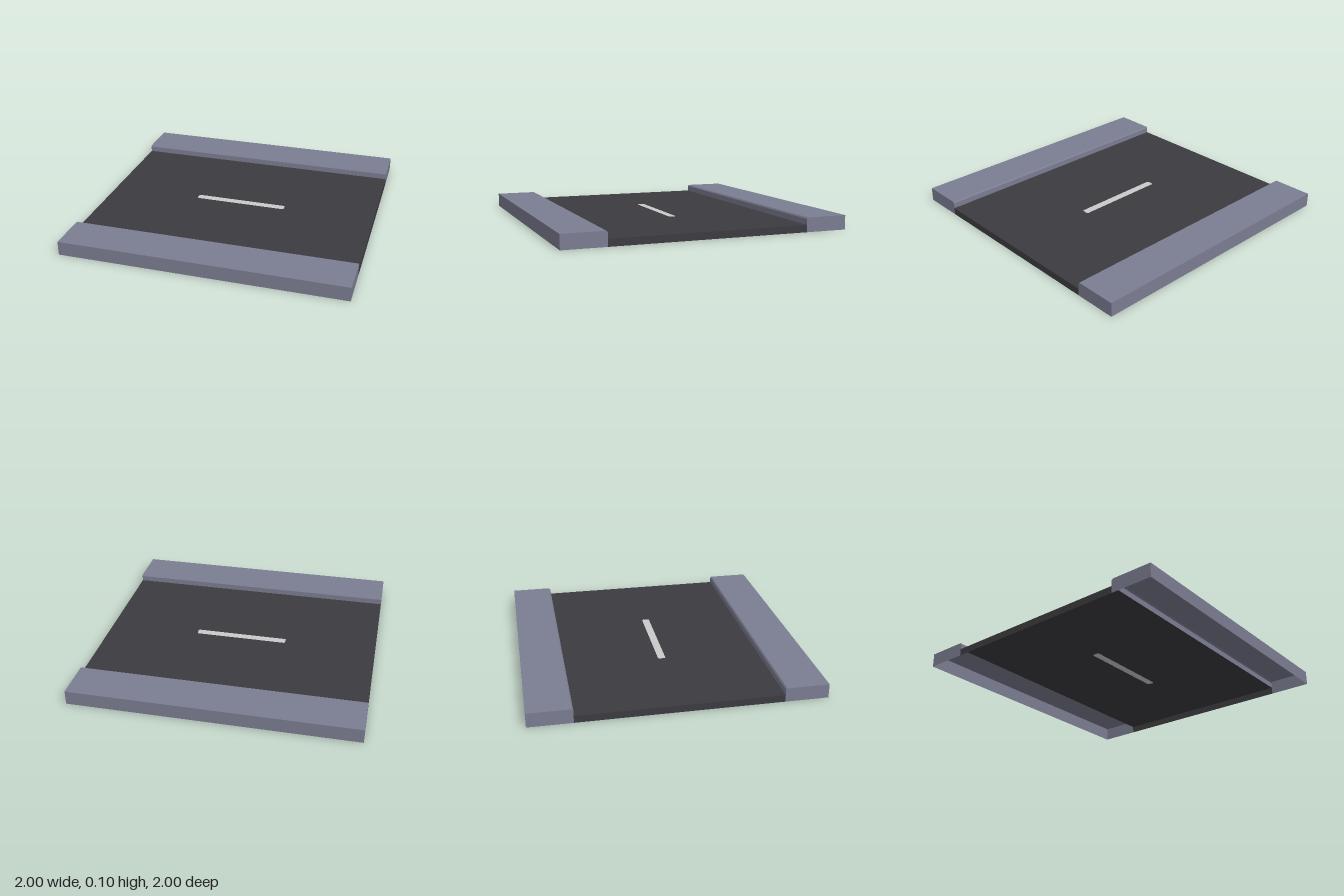
import * as THREE from 'three';

const ROAD_Y = 0.05, CURB_Y = 0.1, EDGE = 0.699;

// Curb cross-section as [z, y], from the outer foot over the top to the road
const PROFILE = [[1, 0], [1, CURB_Y], [0.707, CURB_Y], [EDGE, 0.09], [EDGE, ROAD_Y]];

function material(name, color) {
  const m = new THREE.MeshStandardMaterial({ color, side: THREE.DoubleSide });
  m.name = name;
  return m;
}

function addMesh(parent, name, geometry, mat) {
  const mesh = new THREE.Mesh(geometry, mat);
  mesh.name = name;
  parent.add(mesh);
  return mesh;
}

// Open strip of flat faces following the cross-section along x
function sweepAlongX(profile) {
  const pos = [];
  for (let i = 0; i < profile.length - 1; i++) {
    const [za, ya] = profile[i], [zb, yb] = profile[i + 1];
    pos.push(-1, ya, za, 1, ya, za, 1, yb, zb);
    pos.push(-1, ya, za, 1, yb, zb, -1, yb, zb);
  }
  const g = new THREE.BufferGeometry();
  g.setAttribute('position', new THREE.Float32BufferAttribute(pos, 3));
  g.computeVertexNormals();
  return g;
}

// End plate of a curb, facing outwards on the given side
function endPlate(side) {
  const points = [...PROFILE, [EDGE, 0]].map(([z, y]) => new THREE.Vector2(-side * z, y));
  return new THREE.ShapeGeometry(new THREE.Shape(points))
    .rotateY(side * Math.PI / 2).translate(side, 0, 0);
}

// Outline of the lane marking with clipped corners
function markingPoints() {
  const w = 0.336, h = 0.027, c = 0.008;
  return [[-w, -h + c], [-w + c, -h], [w - c, -h], [w, -h + c],
    [w, h - c], [w - c, h], [-w + c, h], [-w, h - c]].map(([x, y]) => new THREE.Vector2(x, y));
}

export function createModel() {
  const model = new THREE.Group();
  model.name = 'roadTile';
  const pavement = material('pavementGrey', 0x7b7d91);
  const asphalt = material('asphalt', 0x3c3b40);
  const paint = material('markingPaint', 0xcacaca);

  // Hollow raised pavements, front and back
  for (const [name, angle] of [['frontPavement', 0], ['backPavement', Math.PI]]) {
    const curb = new THREE.Group();
    curb.name = name;
    addMesh(curb, 'pavementShell', sweepAlongX(PROFILE), pavement);
    for (const side of [-1, 1]) addMesh(curb, 'pavementEnd', endPlate(side), pavement);
    curb.rotation.y = angle;
    model.add(curb);
  }

  // Road sheet with an opening for the marking
  const road = new THREE.Shape([[-1, -EDGE], [1, -EDGE], [1, EDGE], [-1, EDGE]]
    .map(([x, y]) => new THREE.Vector2(x, y)));
  road.holes.push(new THREE.Path(markingPoints()));
  const lay = (shape) => new THREE.ShapeGeometry(shape).rotateX(-Math.PI / 2).translate(0, ROAD_Y, 0);
  addMesh(model, 'roadSurface', lay(road), asphalt);
  addMesh(model, 'laneMarking', lay(new THREE.Shape(markingPoints())), paint);

  // Side skirts under the road ends
  for (const side of [-1, 1]) {
    const skirt = new THREE.PlaneGeometry(2 * EDGE, ROAD_Y)
      .rotateY(side * Math.PI / 2).translate(side, ROAD_Y / 2, 0);
    addMesh(model, 'roadSkirt', skirt, asphalt);
  }
  return model;
}
